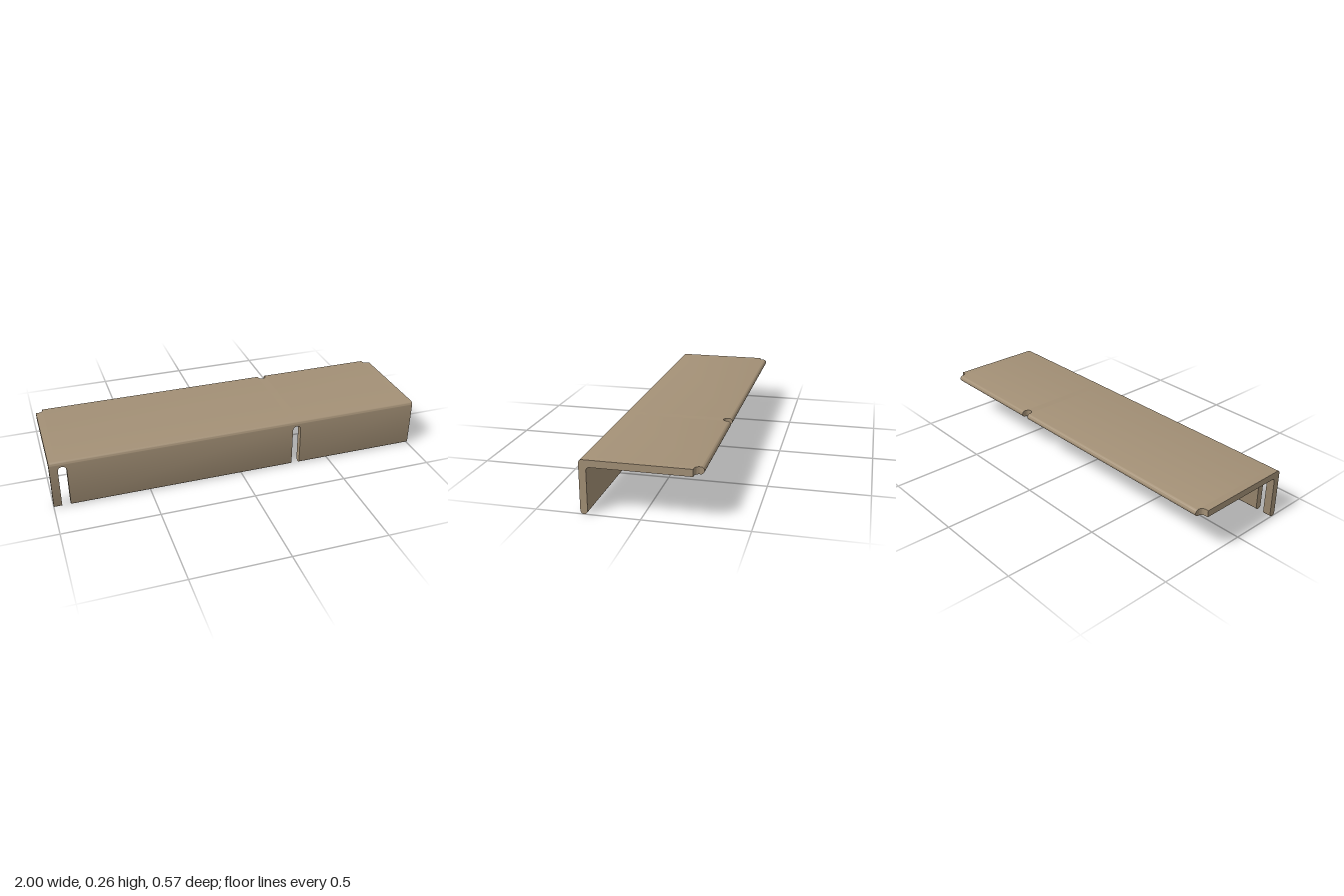
import * as THREE from 'three';
import { toCreasedNormals } from 'three/addons/utils/BufferGeometryUtils.js';

const R = 0.0175;          // half of the sheet thickness, also the edge radius
const HEIGHT = 0.265;
const DEPTH = 0.2835;      // half depth
const SLOT_R = 0.022;      // half width of slots and notches
const LEG_TIP = 0.237;     // top of the leg slots (y)
const BACK_TIP = -0.241;   // innermost point of the back notches (z)
const LEG_SLOTS = [-0.936, 0.31];
const BACK_NOTCHES = [-0.985, 0.31, 0.985];

// L-shaped section as [z, y] points, with rounded free edges and bend
function makeSection() {
  const points = [];
  const arc = (z, y, from, to, n) => {
    for (let i = 0; i <= n; i++) {
      const a = Math.PI * (from + (to - from) * i / n);
      points.push([z + R * Math.cos(a), y + R * Math.sin(a)]);
    }
  };
  arc(DEPTH - R, R, 1, 2, 16);                          // bottom of the leg
  arc(DEPTH - R, HEIGHT - R, 0, 0.5, 8);                // outer bend
  arc(-DEPTH + R, HEIGHT - R, 0.5, 1.5, 16);            // back edge of the shelf
  arc(DEPTH - 3 * R, HEIGHT - 3 * R, 0.5, 0, 8);        // inner bend
  return points;
}

// How far a round-ended slot reaches at x; corner notches run flat to the end
function slotReach(x, c, tip) {
  const outside = Math.abs(c) > 0.95 && Math.abs(x) > Math.abs(c);
  const dx = outside ? 0 : x - c;
  return tip - SLOT_R + Math.sqrt(Math.max(0, SLOT_R * SLOT_R - dx * dx));
}

function makeBracket() {
  const section = makeSection();
  const n = section.length;

  // x positions of all cross-sections
  const xs = new Set([-1, 1]);
  for (const c of [...LEG_SLOTS, ...BACK_NOTCHES])
    for (let i = 0; i <= 16; i++) {
      const x = c - SLOT_R * Math.cos(Math.PI * i / 16);
      if (Math.abs(x) < 1) xs.add(x);
    }
  const stops = [...xs].sort((a, b) => a - b);

  // Trim the section by whichever slots cover the interval around mid
  const trimmed = (x, mid) => {
    const covers = c => Math.abs(mid - c) < SLOT_R;
    const leg = LEG_SLOTS.find(covers);
    const back = BACK_NOTCHES.find(covers);
    const yMin = leg === undefined ? 0 : slotReach(x, leg, LEG_TIP);
    const zMin = back === undefined ? -1 : slotReach(x, back, BACK_TIP);
    return section.map(([z, y]) => new THREE.Vector3(
      x,
      z > DEPTH - 3 * R - 0.001 ? Math.max(y, yMin) : y,
      Math.max(z, zMin)
    ));
  };
  const rings = [];
  for (let i = 0; i < stops.length - 1; i++) {
    const mid = (stops[i] + stops[i + 1]) / 2;
    rings.push(trimmed(stops[i], mid), trimmed(stops[i + 1], mid));
  }

  const positions = [];
  const triangle = new THREE.Triangle();
  const addTriangle = (a, b, c) => {
    if (triangle.set(a, b, c).getArea() < 1e-9) return;
    for (const p of [a, b, c]) positions.push(p.x, p.y, p.z);
  };

  // Skin between neighbouring sections; doubled sections form the slot walls
  for (let s = 0; s < rings.length - 1; s++)
    for (let i = 0; i < n; i++) {
      const j = (i + 1) % n;
      const a = rings[s], b = rings[s + 1];
      addTriangle(a[i], b[i], b[j]);
      addTriangle(a[i], b[j], a[j]);
    }

  // End caps
  const cap = (ring, flip) => {
    const outline = ring.map(p => new THREE.Vector2(p.z, p.y));
    for (const [a, b, c] of THREE.ShapeUtils.triangulateShape(outline, []))
      addTriangle(ring[a], ring[flip ? c : b], ring[flip ? b : c]);
  };
  cap(rings[0], false);
  cap(rings[rings.length - 1], true);

  const geometry = new THREE.BufferGeometry();
  geometry.setAttribute('position', new THREE.Float32BufferAttribute(positions, 3));
  return toCreasedNormals(geometry, 0.6);
}

export function createModel() {
  const group = new THREE.Group();
  group.name = 'slottedAngleBracket';
  const bracket = new THREE.Mesh(
    makeBracket(),
    new THREE.MeshStandardMaterial({ color: 0xa39076 })
  );
  bracket.name = 'bentPlate';
  group.add(bracket);
  return group;
}
